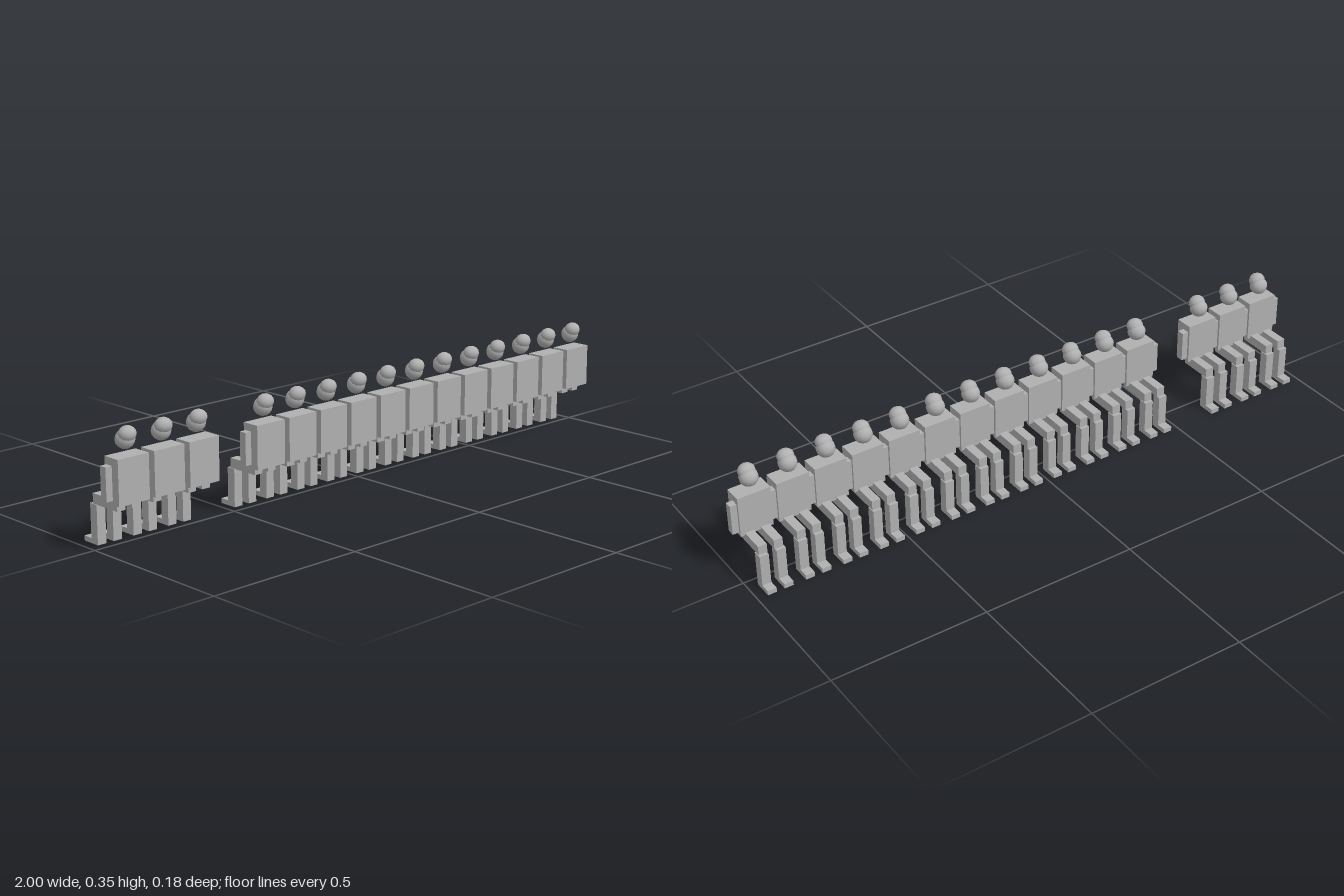
import * as THREE from 'three';

const grey = new THREE.MeshStandardMaterial({ color: 0xb0b0b0 });
grey.name = 'plain grey';

// Box given by its extents on each axis
function box(name, [x0, x1], [y0, y1], [z0, z1]) {
  const geometry = new THREE.BoxGeometry(x1 - x0, y1 - y0, z1 - z0);
  geometry.translate((x0 + x1) / 2, (y0 + y1) / 2, (z0 + z1) / 2);
  const mesh = new THREE.Mesh(geometry, grey);
  mesh.name = name;
  return mesh;
}

function ball(name, [rx, ry, rz], y, z) {
  const geometry = new THREE.SphereGeometry(1, 12, 8);
  geometry.scale(rx, ry, rz);
  const mesh = new THREE.Mesh(geometry, grey);
  mesh.name = name;
  mesh.position.set(0, y, z);
  return mesh;
}

// One seated figure, legs reaching towards -z
function seatedFigure() {
  const figure = new THREE.Group();
  figure.name = 'seatedFigure';
  figure.add(
    box('torso', [-0.0525, 0.0525], [0.138, 0.27], [0.03, 0.088]),
    ball('head', [0.029, 0.028, 0.028], 0.312, 0.054),
    ball('hair', [0.027, 0.023, 0.024], 0.328, 0.064)
  );
  for (const [side, s] of [['left', 1], ['right', -1]]) {
    const span = (a, b) => (s > 0 ? [a, b] : [-b, -a]);
    figure.add(
      box(side + 'Arm', span(0.0525, 0.0735), [0.15, 0.248], [0.037, 0.061]),
      box(side + 'Thigh', span(0.011, 0.039), [0.116, 0.146], [-0.047, 0.061]),
      box(side + 'Shin', span(0.0125, 0.0415), [0, 0.116], [-0.057, -0.028]),
      box(side + 'Foot', span(0.0125, 0.0415), [0, 0.015], [-0.088, -0.057])
    );
  }
  return figure;
}

export function createModel() {
  const model = new THREE.Group();
  model.name = 'rowOfSeatedFigures';
  const prototype = seatedFigure();

  // Sixteen evenly spaced places, one left empty
  for (let i = 0; i < 16; i++) {
    if (i === 3) continue;
    const figure = prototype.clone();
    figure.position.x = -0.9265 + i * 0.12353;
    model.add(figure);
  }
  return model;
}
